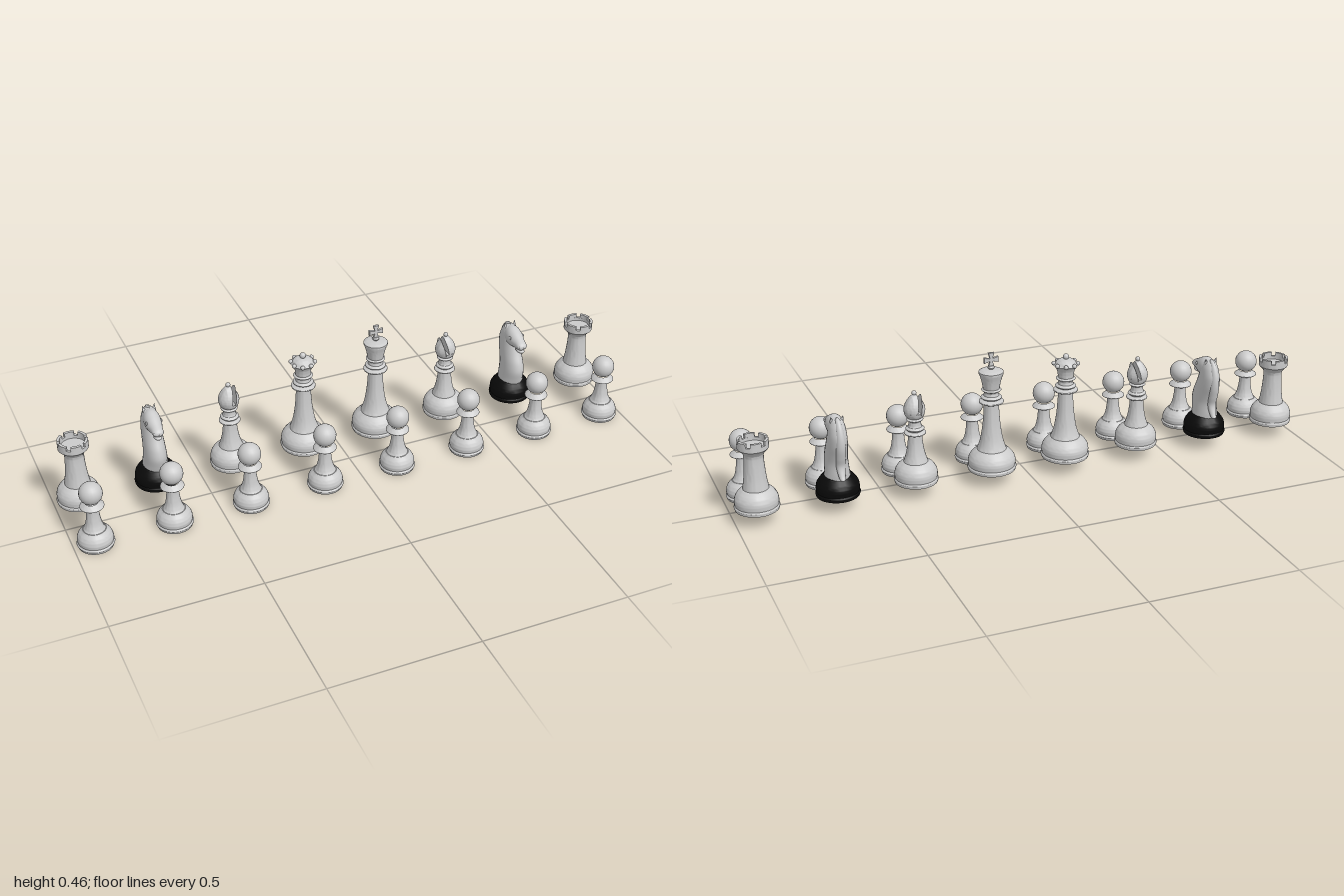
import * as THREE from 'three';
import { toCreasedNormals } from 'three/addons/utils/BufferGeometryUtils.js';

const grey = new THREE.MeshStandardMaterial({ color: 0xcccccc });
const black = new THREE.MeshStandardMaterial({ color: 0x0a0a0a });
const SEG = 40, CREASE = 0.6;

function mesh(name, geo, mat = grey) {
  const m = new THREE.Mesh(geo, mat);
  m.name = name;
  return m;
}

// Profile made of [radius, height] runs; runs of three or more points are smoothed.
function lathe(runs) {
  const pts = [];
  for (const run of runs) {
    const v = run.map(([r, y]) => new THREE.Vector2(r, y));
    const out = v.length > 2 ? new THREE.SplineCurve(v).getPoints(v.length * 3) : v;
    for (const p of out) {
      p.x = Math.max(0, p.x);
      if (!pts.length || pts[pts.length - 1].distanceTo(p) > 1e-5) pts.push(p);
    }
  }
  return new THREE.LatheGeometry(pts, SEG);
}
const turned = (name, runs, mat) => mesh(name, toCreasedNormals(lathe(runs), CREASE), mat);

function ball(name, r, x, y, z, sx = 1, sy = 1, sz = 1) {
  const m = mesh(name, new THREE.SphereGeometry(r, 20, 14));
  m.position.set(x, y, z);
  m.scale.set(sx, sy, sz);
  return m;
}

function pad(r, mat) {
  return mesh('underside', new THREE.CircleGeometry(r, SEG).rotateX(Math.PI / 2), mat);
}

// Foot ring and bell shared by the back row: R is the foot radius, r the bell top.
const foot = (R, r) => [
  [[R * 0.97, 0], [R * 0.97, 0.005]],
  [[R * 0.99, 0.005], [R, 0.009], [R * 0.97, 0.014]],
  [[R * 0.95, 0.015], [R * 0.97, 0.027], [R * 0.93, 0.043], [R * 0.8, 0.058], [r + 0.003, 0.07]],
  [[r + 0.003, 0.07], [r, 0.071]],
];
// Rounded collar bead of radius r on a stem of radius s.
const collar = (s, r, y, h) => [[s, y], [r - 0.002, y + h * 0.3], [r, y + h * 0.5], [r - 0.002, y + h * 0.7], [s, y + h]];

// Smooth tube of elliptic sections: [y, z, half depth, half width], depth along y or z.
function loft(stations, alongY) {
  const n = 24, steps = stations.length * 5;
  const at = new THREE.CatmullRomCurve3(stations.map(s => new THREE.Vector3(0, s[0], s[1])));
  const size = new THREE.CatmullRomCurve3(stations.map(s => new THREE.Vector3(s[2], s[3], 0)));
  const pos = [], idx = [];
  for (let i = 0; i <= steps; i++) {
    const c = at.getPoint(i / steps), s = size.getPoint(i / steps);
    for (let j = 0; j < n; j++) {
      const a = j / n * Math.PI * 2, d = Math.sin(a) * s.x;
      pos.push(Math.cos(a) * s.y, c.y + (alongY ? 0 : d), c.z + (alongY ? d : 0));
      const p = i * n + j, q = i * n + (j + 1) % n;
      if (i < steps) idx.push(...(alongY ? [p, p + n, q, q, p + n, q + n] : [p, q, p + n, q, q + n, p + n]));
    }
  }
  const g = new THREE.BufferGeometry();
  g.setAttribute('position', new THREE.Float32BufferAttribute(pos, 3));
  g.setIndex(idx);
  g.computeVertexNormals();
  return g;
}

function pawn() {
  const g = new THREE.Group();
  g.add(pad(0.058, black), turned('pawnBody', [
    [[0.058, 0], [0.058, 0.006]],
    [[0.06, 0.006], [0.0615, 0.01], [0.058, 0.015]],
    [[0.057, 0.016], [0.059, 0.026], [0.056, 0.04], [0.048, 0.053], [0.038, 0.063]],
    [[0.036, 0.063], [0.027, 0.085], [0.022, 0.112], [0.02, 0.14], [0.022, 0.148]],
    [[0.022, 0.148], [0.037, 0.151], [0.039, 0.154], [0.036, 0.157], [0.022, 0.168]],
  ]), ball('pawnHead', 0.0385, 0, 0.202, 0));
  return g;
}

function rook() {
  const g = new THREE.Group();
  g.add(pad(0.071, grey), turned('rookTower', [
    ...foot(0.073, 0.042),
    [[0.042, 0.071], [0.036, 0.11], [0.032, 0.16], [0.032, 0.188]],
    [[0.032, 0.188], [0.038, 0.197], [0.05, 0.21]],
    [[0.05, 0.21], [0.05, 0.226]], [[0.05, 0.226], [0.041, 0.226]],
    [[0.041, 0.226], [0.041, 0.215]], [[0.041, 0.215], [0, 0.215]],
  ]));
  // Six battlements with narrow gaps between them
  const s = new THREE.Shape(), w = Math.PI / 6 - 0.15;
  s.absarc(0, 0, 0.05, -w, w, false);
  s.absarc(0, 0, 0.041, w, -w, true);
  const geo = new THREE.ExtrudeGeometry(s, { depth: 0.014, bevelEnabled: false, curveSegments: 8 }).rotateX(-Math.PI / 2);
  for (let i = 0; i < 6; i++) {
    const m = mesh('battlement', geo);
    m.position.y = 0.2255;
    m.rotation.y = (i + 0.5) * Math.PI / 3;
    g.add(m);
  }
  return g;
}

function knight() {
  const g = new THREE.Group();
  g.add(pad(0.071, black), turned('knightBase', [...foot(0.073, 0.045), [[0.045, 0.071], [0, 0.071]]], black));
  // Neck rows: height, front, back, half width
  const neck = [[0.06, 0.048, -0.05, 0.043], [0.085, 0.056, -0.053, 0.04], [0.12, 0.064, -0.053, 0.037],
    [0.15, 0.058, -0.06, 0.035], [0.185, 0.04, -0.07, 0.033], [0.22, 0.026, -0.072, 0.03],
    [0.25, 0.018, -0.06, 0.026], [0.27, 0.005, -0.046, 0.018], [0.277, -0.02, -0.022, 0.001]];
  g.add(mesh('neck', loft(neck.map(([y, f, b, w]) => [y, (f + b) / 2, (f - b) / 2, w]), true)));
  // Head rows: z, top, bottom, half width
  const head = [[-0.04, 0.245, 0.243, 0.001], [-0.03, 0.272, 0.215, 0.022], [0, 0.279, 0.205, 0.028],
    [0.028, 0.269, 0.211, 0.026], [0.052, 0.256, 0.216, 0.02], [0.07, 0.247, 0.22, 0.018],
    [0.078, 0.24, 0.226, 0.011], [0.08, 0.234, 0.232, 0.001]];
  g.add(mesh('head', loft(head.map(([z, t, b, w]) => [(t + b) / 2, z, (t - b) / 2, w]), false)));
  g.add(ball('lowerJaw', 0.015, 0, 0.213, 0.056, 0.9, 0.55, 1.4));
  // Mane ridge ending in a flick above the base
  const mane = [[0.073, -0.066, 0.002, 0.001], [0.078, -0.066, 0.011, 0.009], [0.092, -0.058, 0.012, 0.012],
    [0.12, -0.048, 0.013, 0.015], [0.15, -0.055, 0.014, 0.016], [0.185, -0.062, 0.015, 0.016],
    [0.22, -0.06, 0.016, 0.014], [0.25, -0.05, 0.016, 0.012], [0.272, -0.038, 0.012, 0.008], [0.281, -0.03, 0.001, 0.001]];
  g.add(mesh('mane', loft(mane, true)));
  for (const side of [-1, 1]) {
    const ear = mesh('ear', new THREE.ConeGeometry(0.011, 0.036, 14));
    ear.position.set(side * 0.017, 0.268, -0.025);
    ear.rotation.set(-0.3, 0, -side * 0.2);
    g.add(ear, ball('eye', 0.006, side * 0.025, 0.25, 0.025, 0.6), ball('nostril', 0.004, side * 0.014, 0.235, 0.071));
  }
  return g;
}

// Flattens everything beyond a tilted plane onto it; dir picks the side kept.
function slice(geo, px, py, tilt, dir) {
  const p = geo.attributes.position, nx = Math.cos(tilt), ny = -Math.sin(tilt);
  for (let i = 0; i < p.count; i++) {
    const s = (p.getX(i) - px) * nx + (p.getY(i) - py) * ny;
    if (s * dir > 0) p.setXY(i, p.getX(i) - s * nx, p.getY(i) - s * ny);
  }
  return toCreasedNormals(geo, CREASE);
}

function bishop() {
  const g = new THREE.Group();
  g.add(pad(0.071, grey), turned('bishopBody', [
    ...foot(0.073, 0.04),
    [[0.04, 0.071], [0.031, 0.1], [0.025, 0.135], [0.023, 0.165]],
    collar(0.023, 0.036, 0.165, 0.014), collar(0.023, 0.031, 0.18, 0.014),
    [[0.023, 0.194], [0.02, 0.205], [0.021, 0.214]], collar(0.021, 0.028, 0.214, 0.01),
    [[0.021, 0.224], [0.03, 0.232], [0.0345, 0.246]], [[0.0345, 0.246], [0, 0.246]],
  ]));
  // Mitre split by a slanting slot
  const mitre = () => lathe([[[0, 0.244], [0.034, 0.244]],
    [[0.034, 0.244], [0.035, 0.256], [0.031, 0.272], [0.021, 0.289], [0.009, 0.302], [0, 0.306]]]);
  g.add(mesh('mitre', slice(mitre(), 0.005, 0.27, 0.18, 1)));
  g.add(mesh('mitreFlap', slice(mitre(), 0.017, 0.27, 0.18, -1)));
  g.add(ball('finial', 0.008, 0, 0.31, 0));
  return g;
}

// Tall stem with collars shared by king and queen
const royalStem = [
  ...foot(0.082, 0.049),
  [[0.049, 0.071], [0.038, 0.105], [0.03, 0.155], [0.026, 0.205], [0.025, 0.232]],
  collar(0.025, 0.041, 0.232, 0.016), collar(0.026, 0.035, 0.248, 0.014),
  [[0.026, 0.262], [0.024, 0.269], [0.026, 0.276]], collar(0.026, 0.033, 0.276, 0.01),
];

function king() {
  const g = new THREE.Group();
  g.add(pad(0.08, black), turned('kingBody', [
    ...royalStem,
    [[0.027, 0.286], [0.033, 0.315], [0.04, 0.338]], [[0.041, 0.338], [0.041, 0.345]],
    [[0.041, 0.345], [0.03, 0.35], [0.012, 0.353]],
    collar(0.008, 0.012, 0.353, 0.012), [[0.008, 0.365], [0, 0.366]],
  ]));
  // Cross with flared arms
  const s = new THREE.Shape(), arm = [[0.004, 0.005], [0.009, 0.024], [-0.009, 0.024], [-0.004, 0.005]];
  for (let k = 0; k < 4; k++) {
    const a = k * Math.PI / 2, c = Math.cos(a), n = Math.sin(a);
    arm.forEach(([x, y], i) => s[k + i ? 'lineTo' : 'moveTo'](x * c - y * n, x * n + y * c));
  }
  const cross = mesh('cross', new THREE.ExtrudeGeometry(s, { depth: 0.006, bevelSize: 0.001, bevelThickness: 0.0015, bevelSegments: 2 }));
  cross.position.set(0, 0.385, -0.003);
  g.add(cross);
  return g;
}

function queen() {
  const g = new THREE.Group();
  g.add(pad(0.08, black), turned('queenBody', [
    ...royalStem,
    [[0.026, 0.286], [0.028, 0.305], [0.034, 0.32], [0.042, 0.33]], [[0.042, 0.33], [0.037, 0.332]],
    [[0.037, 0.332], [0.03, 0.342], [0.016, 0.349], [0, 0.351]],
  ]), ball('finial', 0.0105, 0, 0.357, 0));
  // Ring of crown beads
  for (let i = 0; i < 8; i++) {
    const a = (i + 0.5) * Math.PI / 4;
    g.add(ball('crownBead', 0.0075, Math.sin(a) * 0.04, 0.333, Math.cos(a) * 0.04));
  }
  return g;
}

export function createModel() {
  const model = new THREE.Group();
  const place = (name, piece, file, y, z) => {
    piece.name = name;
    piece.position.set((file - 3.5) * 0.2647, y, z);
    model.add(piece);
    return piece;
  };
  const pairs = [['rook', rook()], ['knight', knight()], ['bishop', bishop()]];
  pairs.forEach(([name, piece], i) => {
    const twin = place(name, piece.clone(), 7 - i, 0.047, -0.0825);
    if (name === 'bishop') twin.rotation.y = Math.PI;
    place(name, piece, i, 0.047, -0.0825);
  });
  place('queen', queen(), 3, 0.047, -0.0825);
  place('king', king(), 4, 0.047, -0.0825);
  const p = pawn();
  for (let i = 0; i < 8; i++) place('pawn', p.clone(), i, 0, 0.104);
  return model;
}
